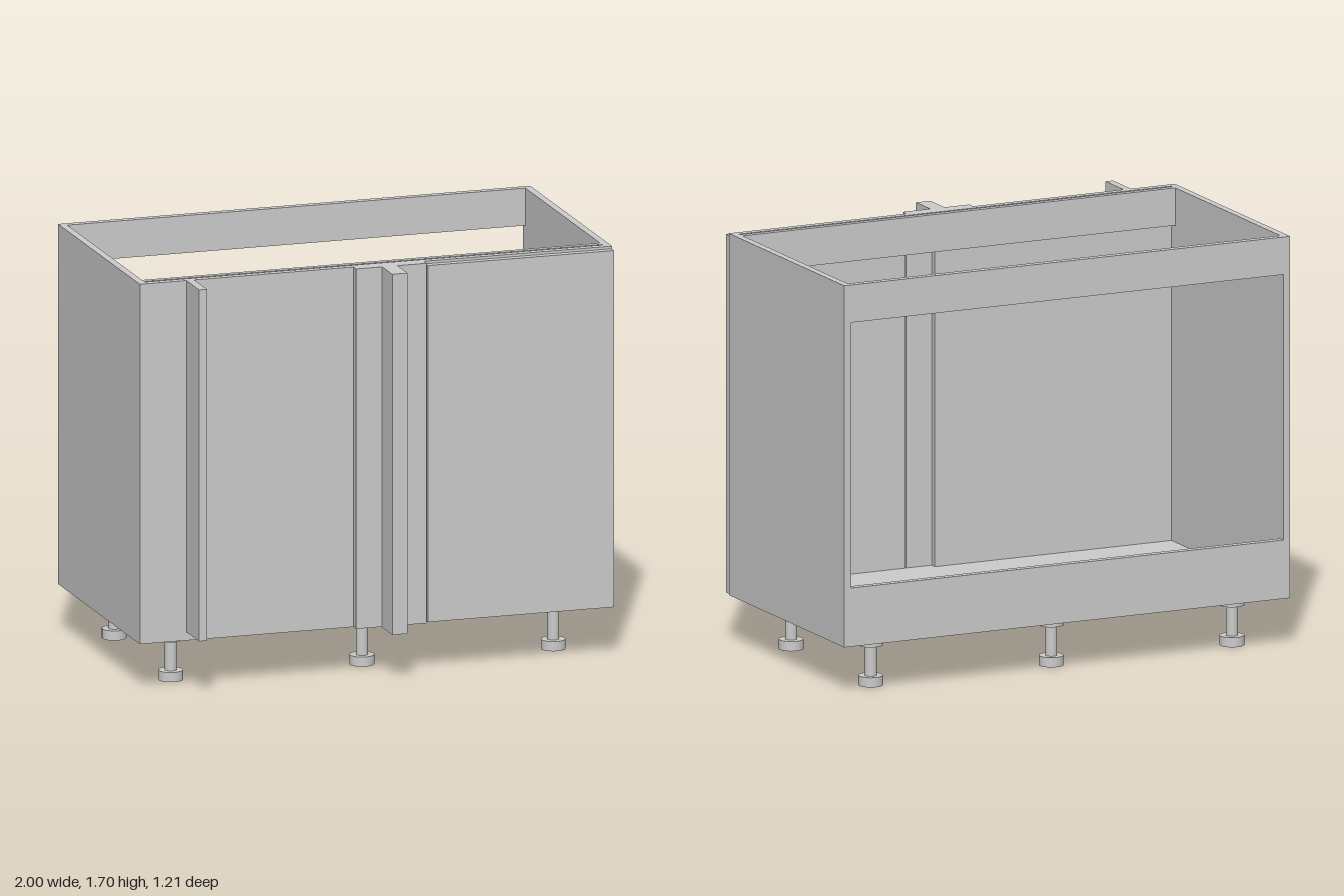
import * as THREE from 'three';

const material = new THREE.MeshStandardMaterial({ color: 0xcccccc });

// Box given by its extents on each axis
function panel(name, [x0, x1], [y0, y1], [z0, z1]) {
  const mesh = new THREE.Mesh(new THREE.BoxGeometry(x1 - x0, y1 - y0, z1 - z0), material);
  mesh.position.set((x0 + x1) / 2, (y0 + y1) / 2, (z0 + z1) / 2);
  mesh.name = name;
  return mesh;
}

function disc(name, radius, y0, y1) {
  const mesh = new THREE.Mesh(new THREE.CylinderGeometry(radius, radius, y1 - y0, 32), material);
  mesh.position.y = (y0 + y1) / 2;
  mesh.name = name;
  return mesh;
}

// Adjustable foot: base, stem and mounting plate
function createLeg(x, z) {
  const leg = new THREE.Group();
  leg.name = 'leg';
  leg.add(
    disc('legBase', 0.05, 0, 0.04),
    disc('legStem', 0.024, 0.04, 0.165),
    disc('legPlate', 0.05, 0.165, 0.203),
  );
  leg.position.set(x, 0, z);
  return leg;
}

export function createModel() {
  const group = new THREE.Group();
  group.name = 'cornerCabinet';

  const bottom = 0.203, top = 1.695, back = -0.605, front = 0.442, t = 0.03;
  const inner = [-1 + t, 1 - t];
  const height = [bottom, top];

  // Carcass
  group.add(
    panel('rightSide', [-1, -1 + t], height, [back, front]),
    panel('leftSide', [1 - t, 1], height, [back, front]),
    panel('floor', inner, [bottom, bottom + t], [back + t, front]),
    panel('backTopRail', inner, [1.54, top], [back, back + t]),
    panel('backBottomRail', inner, [bottom, 0.445], [back, back + t]),
    panel('frontInnerRail', inner, [1.54, top], [0.377, 0.402]),
    panel('frontOuterRail', [0.09, 1 - t], [1.54, top], [0.412, front]),
  );

  // Fixed front panel and door
  group.add(
    panel('fixedFrontPanel', [-1 + t, 0.09], height, [0.412, front]),
    panel('door', [0.208, 0.997], [bottom + 0.004, top - 0.01], [front + 0.003, 0.476]),
  );

  // Corner post with a T section, and the thin spacer strip
  group.add(
    panel('cornerPostFlange', [-0.095, 0.203], height, [front, 0.476]),
    panel('cornerPostWeb', [0.015, 0.08], [bottom - 0.003, top], [0.476, 0.605]),
    panel('spacerStrip', [-0.803, -0.77], [0.238, top], [front, 0.605]),
  );

  // Two rows of three legs
  for (const x of [-0.81, 0, 0.81]) {
    for (const z of [-0.46, 0.262]) group.add(createLeg(x, z));
  }
  return group;
}
